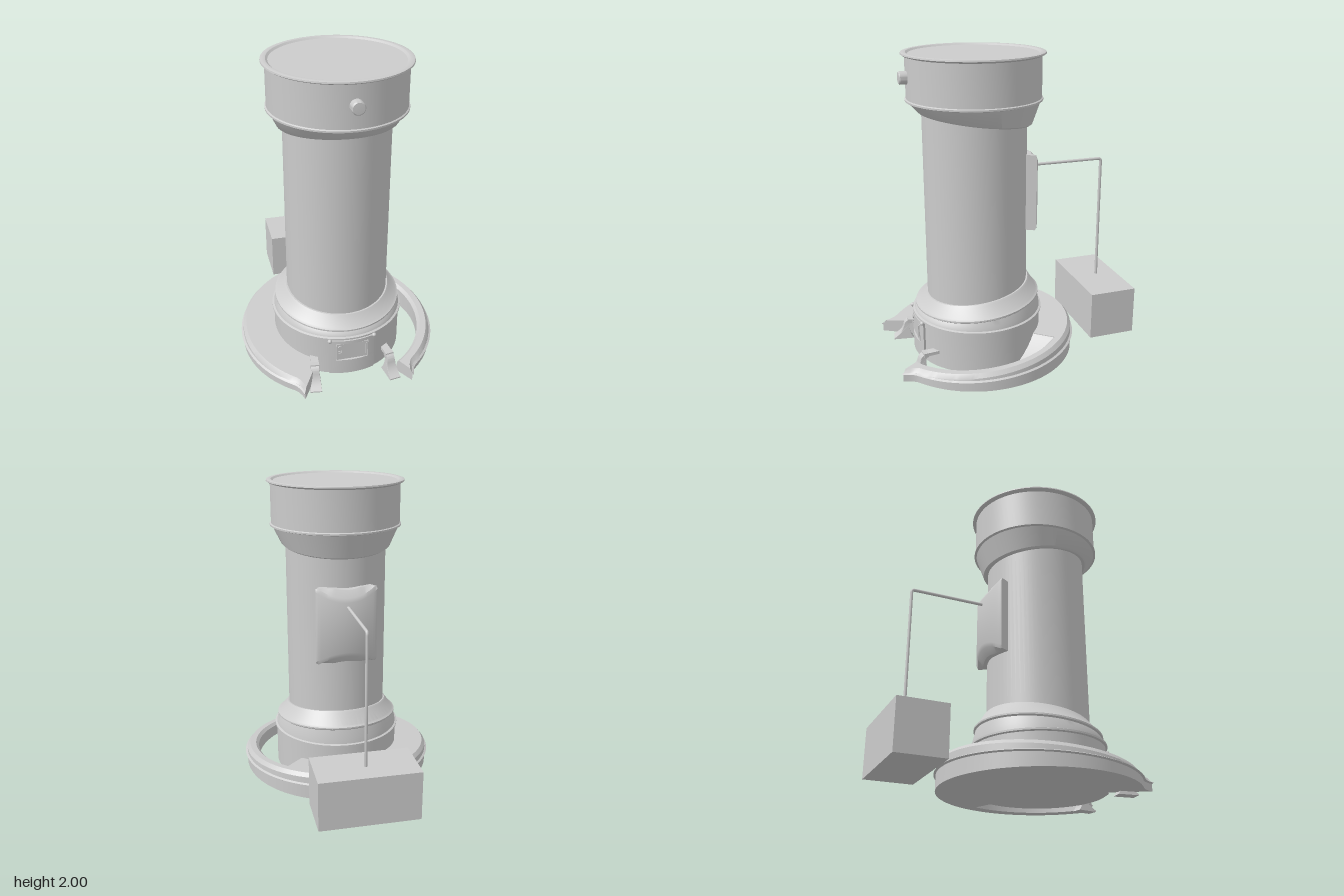
import * as THREE from 'three';
import { toCreasedNormals } from 'three/addons/utils/BufferGeometryUtils.js';

const CX = -0.003, CZ = 0.205; // axis of the column
const rad = THREE.MathUtils.degToRad;
const clamp = THREE.MathUtils.clamp;
const grey = new THREE.MeshStandardMaterial({ color: 0xcccccc });

function add(parent, name, geometry, x = 0, y = 0, z = 0) {
  const mesh = new THREE.Mesh(geometry, grey);
  mesh.name = name;
  mesh.position.set(x, y, z);
  parent.add(mesh);
  return mesh;
}

// Lathe whose points are [radius, height, tilt]; tilt raises the front side
function tiltedLathe(profile, segments = 72) {
  const geo = new THREE.LatheGeometry(profile.map(([r, y]) => new THREE.Vector2(r, y)), segments);
  const p = geo.attributes.position;
  for (let i = 0; i < p.count; i++) {
    const k = profile[i % profile.length][2] || 0;
    p.setY(i, p.getY(i) + k * p.getZ(i));
  }
  return toCreasedNormals(geo, 0.5);
}

// Closed, capped solid swept about the axis; section(angle) gives [radius, height] points
// Angles are in degrees, from the front towards +x
function arcSolid(a0, a1, steps, section) {
  const pos = [], index = [];
  let n = 0;
  for (let i = 0; i <= steps; i++) {
    const deg = a0 + ((a1 - a0) * i) / steps, a = rad(deg);
    const pts = section(deg);
    n = pts.length;
    for (const [r, y] of pts) pos.push(r * Math.sin(a), y, r * Math.cos(a));
  }
  for (let i = 0; i < steps; i++) {
    for (let j = 0; j < n; j++) {
      const k = (j + 1) % n, a = i * n + j, b = a + n, c = (i + 1) * n + k, d = i * n + k;
      index.push(a, b, c, a, c, d);
    }
  }
  const e = steps * n;
  for (let j = 1; j < n - 1; j++) index.push(0, j, j + 1, e, e + j + 1, e + j);
  const geo = new THREE.BufferGeometry();
  geo.setAttribute('position', new THREE.Float32BufferAttribute(pos, 3));
  geo.setIndex(index);
  return toCreasedNormals(geo, 0.5);
}

const arcBlock = (r0, r1, y0, y1, a0, a1, steps = 12) =>
  arcSolid(a0, a1, steps, () => [[r0, y0], [r1, y0], [r1, y1], [r0, y1]]);

// Sloping heights of the base skirt at a given radius and angle
const deckY = (r, deg) => 0.1 + (0.595 - r * Math.cos(rad(deg))) * 0.083;
const ridgeY = (deg) => 0.07 + (0.615 - 0.64 * Math.cos(rad(deg))) * 0.044;

// Skirt section with an outer ridge and bevelled top edges, flaring at its front tips
function skirt(inner, bevel) {
  return (deg) => {
    const fromTip = Math.min(Math.abs(deg - 31), Math.abs(deg - 330));
    const f = 0.05 * Math.pow(Math.max(0, 1 - fromTip / 8), 2);
    const top = (r, drop) => [r, deckY(r, deg) - drop];
    const ry = ridgeY(deg);
    return [
      [inner, 0.02], [0.637 + f, 0.02], [0.637 + f, ry - 0.007], [0.65 + f, ry],
      [0.637 + f, ry + 0.007], top(0.635 + f, 0.025), top(0.615 + f, 0),
      top(inner + bevel, 0), top(inner, bevel),
    ];
  };
}

export function createModel() {
  const model = new THREE.Group();
  const tower = new THREE.Group();
  tower.name = 'tower';
  tower.position.set(CX, 0, CZ);
  model.add(tower);

  // Base drum, tilted collar and column
  add(tower, 'baseAndColumn', tiltedLathe([
    [0, 0.02], [0.42, 0.02], [0.42, 0.288], [0.432, 0.294], [0.432, 0.305], [0.419, 0.31],
    [0.414, 0.335, -0.03], [0.4, 0.37, -0.085], [0.41, 0.378, -0.085], [0.41, 0.388, -0.085],
    [0.395, 0.396, -0.09], [0.35, 0.458, -0.135], [0.34, 0.469, -0.135], [0.33, 0.469, -0.135],
    [0.33, 1.62, 0.13],
  ]));
  // Head drum with slanted underside and rolled rim
  add(tower, 'head', tiltedLathe([
    [0.32, 1.595, 0.13], [0.35, 1.588, 0.13], [0.362, 1.597, 0.13], [0.413, 1.7], [0.428, 1.705],
    [0.428, 1.715], [0.42, 1.72], [0.42, 1.975], [0.435, 1.98], [0.445, 1.987], [0.443, 1.996],
    [0.43, 2], [0.413, 1.998], [0.4, 1.988], [0, 1.988],
  ]));
  const knob = add(tower, 'headKnob', tiltedLathe(
    [[0, -0.02], [0.04, -0.02], [0.04, 0.047], [0.034, 0.053], [0, 0.055]], 32), 0, 1.855, 0.415);
  knob.rotation.x = Math.PI / 2;

  // Base skirt: solid deck, open curved arm and the wedge joining them
  add(tower, 'skirtDeck', arcSolid(135, 330, 78, skirt(0.4, 0)));
  add(tower, 'skirtArm', arcSolid(31, 135, 48, skirt(0.555, 0.02)));
  add(tower, 'skirtWedge', arcSolid(112, 135, 10, (d) => {
    const t = (d - 112) / 23;
    const y = (r) => 0.03 + (deckY(r, d) - 0.035) * t;
    return [[0.4, 0.02], [0.57, 0.02], [0.57, y(0.57)], [0.4, y(0.4)]];
  }));

  // Control panel: curved frame around a flat recessed plate
  const panel = new THREE.Group();
  panel.name = 'controlPanel';
  tower.add(panel);
  add(panel, 'frameBottom', arcBlock(0.4, 0.435, 0.03, 0.135, -20, 20));
  add(panel, 'frameTop', arcBlock(0.4, 0.435, 0.265, 0.288, -20, 20));
  for (const s of [-1, 1]) {
    add(panel, 'frameSide', arcBlock(0.4, 0.435, 0.135, 0.265, s * 17 - 3, s * 17 + 3, 4));
    add(panel, 'frameStud', new THREE.SphereGeometry(0.014, 16, 10), s * 0.145, 0.29, 0.415);
  }
  add(panel, 'plate', new THREE.BoxGeometry(0.205, 0.12, 0.04), 0, 0.2, 0.405);
  const dial = add(panel, 'dial', new THREE.CylinderGeometry(0.015, 0.015, 0.008, 20), -0.08, 0.235, 0.427);
  dial.rotation.x = Math.PI / 2;
  for (let i = 0; i < 4; i++) {
    add(panel, 'button', new THREE.BoxGeometry(0.009, 0.009, 0.008),
      -0.087 + (i % 2) * 0.013, 0.205 - Math.floor(i / 2) * 0.014, 0.427);
  }
  add(panel, 'plateHandle', new THREE.BoxGeometry(0.004, 0.085, 0.008), 0.09, 0.205, 0.427);

  // Front feet: bracket bending down from the drum to a splayed toe
  const side = new THREE.Shape();
  side.moveTo(-0.04, 0.115);
  side.lineTo(-0.04, 0.135);
  side.lineTo(0.07, 0.138);
  side.quadraticCurveTo(0.105, 0.13, 0.115, 0.1);
  side.quadraticCurveTo(0.125, 0.04, 0.185, 0.008);
  side.lineTo(0.185, 0);
  side.lineTo(0.05, 0);
  side.quadraticCurveTo(0.085, 0.04, 0.075, 0.1);
  side.lineTo(0.06, 0.115);
  const footGeo = new THREE.ExtrudeGeometry(side, { depth: 0.05, bevelEnabled: false, curveSegments: 8 });
  footGeo.translate(0, 0, -0.025);
  const fp = footGeo.attributes.position;
  for (let i = 0; i < fp.count; i++) {
    fp.setZ(i, fp.getZ(i) * (1 + 0.5 * clamp(1 - fp.getY(i) / 0.1, 0, 1)));
  }
  const footSmooth = toCreasedNormals(footGeo, 0.5);
  for (const s of [-1, 1]) {
    const foot = new THREE.Group();
    foot.name = s > 0 ? 'leftFoot' : 'rightFoot';
    foot.position.set(s * 0.235, 0, 0.35);
    foot.rotation.y = s * rad(8);
    tower.add(foot);
    add(foot, 'leg', footSmooth).rotation.y = -Math.PI / 2;
    add(foot, 'latch', new THREE.BoxGeometry(0.055, 0.028, 0.03), 0, 0.125, 0.075);
  }

  // Back pad: curved cushion with its ends chamfered towards the outside
  const pad = arcSolid(150, 210, 24, () => {
    const arc = [[0.31, 0.86], [0.355, 0.86], [0.39, 0.86], [0.4, 0.875]];
    return [...arc, ...arc.map(([r, y]) => [r, 2.22 - y]).reverse()];
  });
  const pp = pad.attributes.position;
  for (let i = 0; i < pp.count; i++) {
    const t = clamp((-0.345 - pp.getZ(i)) / 0.055, 0, 1);
    pp.setY(i, pp.getY(i) - Math.sign(pp.getY(i) - 1.11) * 0.07 * t);
  }
  add(tower, 'backPad', toCreasedNormals(pad, 0.5));

  // Bent rod carrying the rear box
  const rod = new THREE.CurvePath();
  const v = (y, z) => new THREE.Vector3(CX, y, z);
  rod.add(new THREE.LineCurve3(v(1.245, -0.17), v(1.245, -0.66)));
  rod.add(new THREE.QuadraticBezierCurve3(v(1.245, -0.66), v(1.245, -0.68), v(1.225, -0.68)));
  rod.add(new THREE.LineCurve3(v(1.225, -0.68), v(0.38, -0.68)));
  add(model, 'rod', new THREE.TubeGeometry(rod, 160, 0.01, 12));
  add(model, 'rearBox', new THREE.BoxGeometry(0.635, 0.32, 0.317), CX, 0.235, -0.662);

  return model;
}
